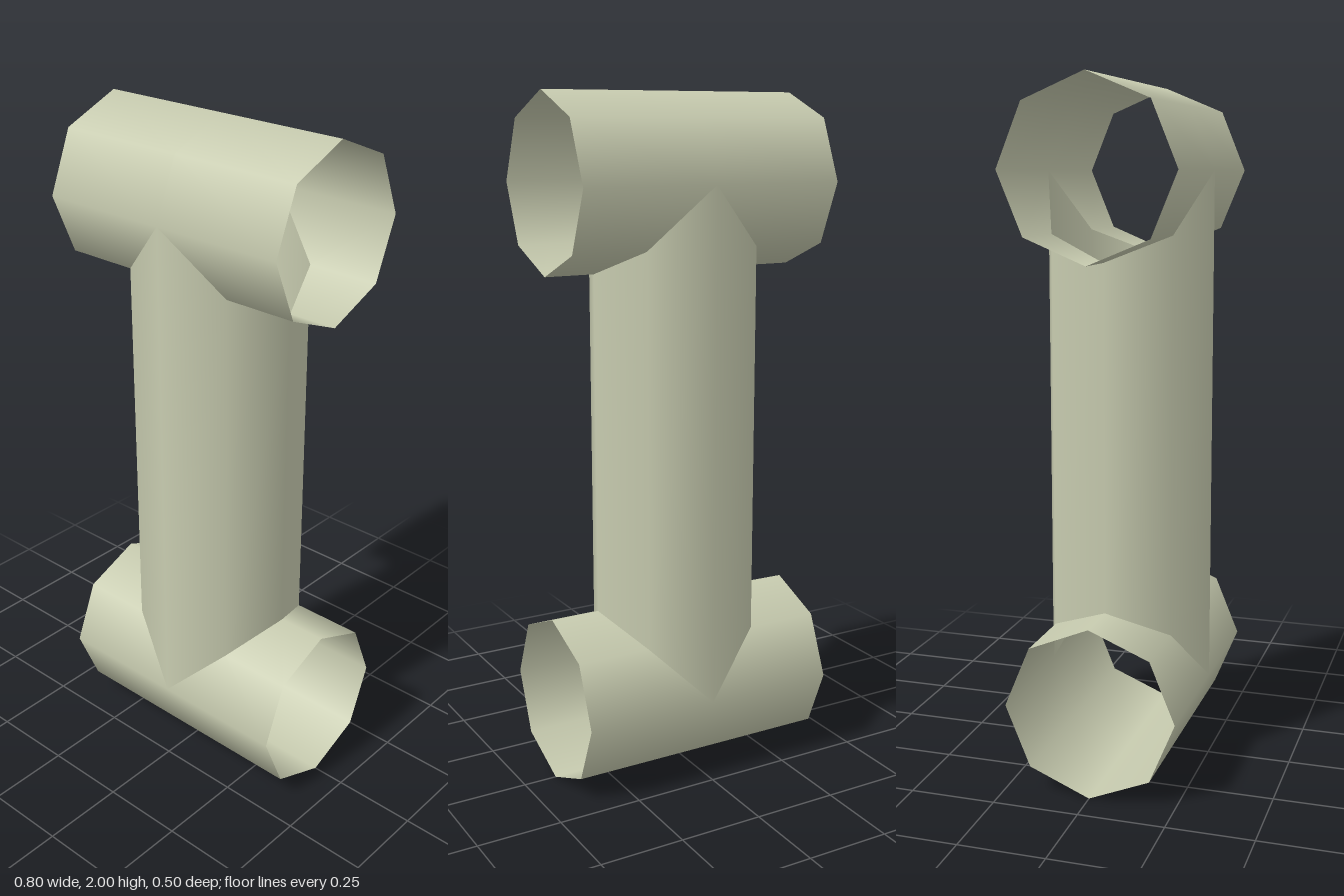
import * as THREE from 'three';

const R = 0.25, HALF = 0.4, SIDES = 8;
const material = new THREE.MeshStandardMaterial({ color: 0xc8ccb0, side: THREE.DoubleSide });

// Open octagonal tube, smooth-shaded around its axis
const tube = (length) => new THREE.CylinderGeometry(R, R, length, SIDES, 1, true);

// One half of a cross pipe, its inner end notched where the upright joins
// side: -1 or 1 along x; branch: -1 if the upright leaves downward, 1 if upward
function crossPipeHalf(side, branch) {
  const geo = tube(HALF).rotateZ(-side * Math.PI / 2).translate(side * HALF / 2, 0, 0);
  const p = geo.attributes.position;
  for (let i = 0; i < p.count; i++) {
    if (Math.abs(p.getX(i)) < HALF / 2) p.setX(i, side * Math.max(0, branch * p.getY(i)));
  }
  return geo;
}

export function createModel() {
  const group = new THREE.Group();
  group.name = 'pipeFrame';

  // Horizontal pipes at the top and bottom
  for (const [name, y, branch] of [['topPipe', 2 - R, -1], ['bottomPipe', R, 1]]) {
    const pipe = new THREE.Group();
    pipe.name = name;
    pipe.position.y = y;
    for (const side of [-1, 1]) {
      const half = new THREE.Mesh(crossPipeHalf(side, branch), material);
      half.name = name + (side > 0 ? 'LeftHalf' : 'RightHalf');
      pipe.add(half);
    }
    group.add(pipe);
  }

  // Upright pipe, both ends mitred to saddle the horizontal pipes
  const geo = tube(1);
  const p = geo.attributes.position;
  for (let i = 0; i < p.count; i++) {
    p.setY(i, Math.sign(p.getY(i)) * (1 - R - Math.abs(p.getX(i))));
  }
  const upright = new THREE.Mesh(geo, material);
  upright.name = 'uprightPipe';
  upright.position.y = 1;
  group.add(upright);

  return group;
}
